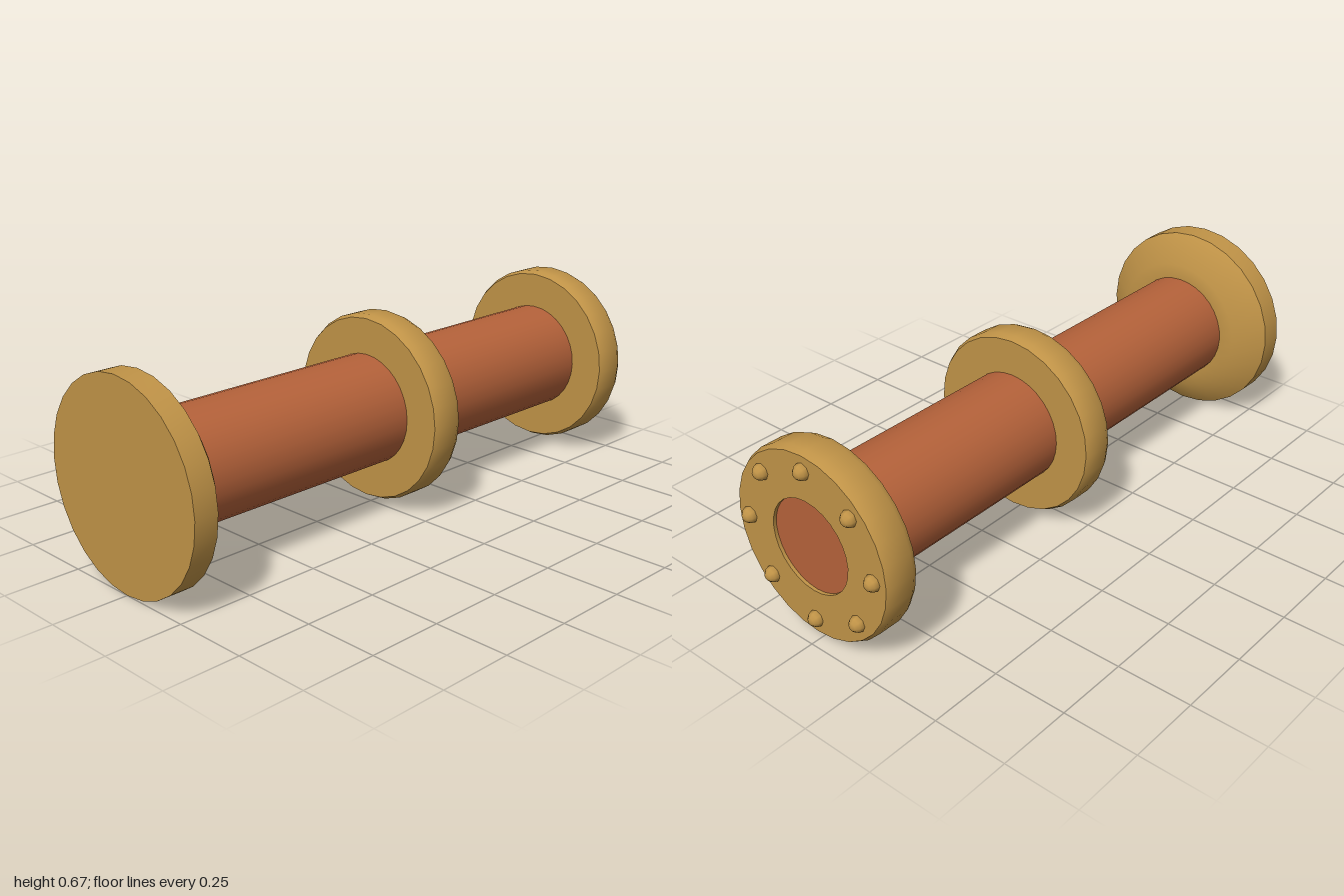
import * as THREE from 'three';
import { toCreasedNormals } from 'three/addons/utils/BufferGeometryUtils.js';

export function createModel() {
  const brass = new THREE.MeshStandardMaterial({ name: 'brass', color: 0xc09347 });
  const copper = new THREE.MeshStandardMaterial({ name: 'copper', color: 0xb5623a });

  const model = new THREE.Group();
  model.name = 'pipe';
  const axisY = 0.335;

  // Turn a profile of [radius, x] points around the pipe's long axis
  function turned(name, points, material, sides = 28) {
    const profile = points.map(([r, x]) => new THREE.Vector2(r, x));
    const geometry = toCreasedNormals(new THREE.LatheGeometry(profile, sides), 0.7);
    geometry.rotateZ(-Math.PI / 2);
    const mesh = new THREE.Mesh(geometry, material);
    mesh.name = name;
    mesh.position.y = axisY;
    model.add(mesh);
  }

  // Flange ring with softened outer edges, from x0 to x1
  function ring(name, x0, x1, bore) {
    turned(name, [
      [bore, x0], [0.305, x0], [0.315, x0 + 0.02],
      [0.315, x1 - 0.02], [0.305, x1], [bore, x1], [bore, x0],
    ], brass);
  }

  // Tube, its end sitting just inside the end flange
  turned('tube', [[0, -0.95], [0.185, -0.95], [0.185, 0.9], [0.155, 0.9], [0.155, 0.96], [0, 0.96]], copper, 32);

  // Closed base plate with a sloping shoulder
  turned('basePlate', [
    [0, -1], [0.335, -1], [0.335, -0.92], [0.238, -0.85], [0.18, -0.85],
  ], brass);

  ring('middleFlange', -0.022, 0.092, 0.18);
  ring('endFlange', 0.855, 0.971, 0.155);

  // Circle of bolt heads on the end flange
  const bolts = new THREE.Group();
  bolts.name = 'bolts';
  const boltGeometry = new THREE.SphereGeometry(0.027, 8, 6).rotateZ(-Math.PI / 2);
  for (let i = 0; i < 8; i++) {
    const angle = (i / 8) * Math.PI * 2;
    const bolt = new THREE.Mesh(boltGeometry, brass);
    bolt.name = 'bolt';
    bolt.position.set(0.973, axisY + Math.cos(angle) * 0.255, Math.sin(angle) * 0.255);
    bolts.add(bolt);
  }
  model.add(bolts);

  return model;
}
